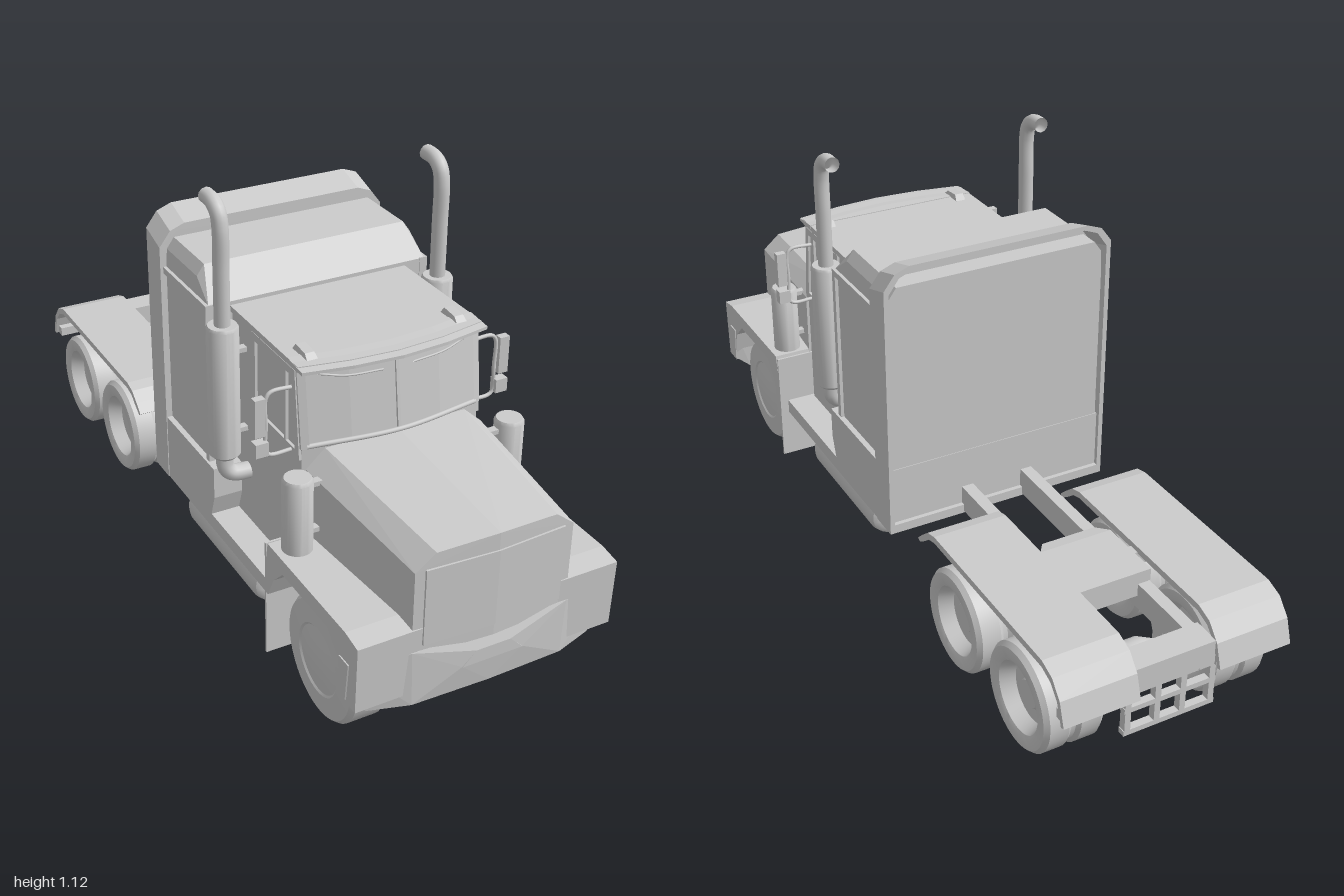
import * as THREE from 'three';
import { toCreasedNormals } from 'three/addons/utils/BufferGeometryUtils.js';
import { ConvexGeometry } from 'three/addons/geometries/ConvexGeometry.js';

const mat = new THREE.MeshStandardMaterial({ color: 0xcccccc, side: THREE.DoubleSide });
const V = (x, y, z) => new THREE.Vector3(x, y, z);

// Box given by its limits on each axis
const box = (x0, x1, y0, y1, z0, z1) =>
  new THREE.BoxGeometry(x1 - x0, y1 - y0, z1 - z0).translate((x0 + x1) / 2, (y0 + y1) / 2, (z0 + z1) / 2);

// Convex body from points; sym adds the points mirrored in x
const hull = (pts, sym = true) => {
  const all = pts.map(p => V(...p));
  if (sym) pts.forEach(p => { if (p[0]) all.push(V(-p[0], p[1], p[2])); });
  return new ConvexGeometry(all);
};

const shapeOf = pts => new THREE.Shape(pts.map(p => new THREE.Vector2(...p)));

// Side profile of [z, y] points (with optional hole) extruded from x0 to x1
const sideProfile = (pts, x0, x1, hole) => {
  const s = shapeOf(pts.map(([z, y]) => [-z, y]));
  if (hole) s.holes.push(shapeOf(hole.map(([z, y]) => [-z, y])));
  return new THREE.ExtrudeGeometry(s, { depth: x1 - x0, bevelEnabled: false }).rotateY(Math.PI / 2).translate(x0, 0, 0);
};

// Turned part; profile is [radius, height], axis y (upright), x or z
const turned = (profile, axis = 'y', seg = 32) => {
  const g = toCreasedNormals(new THREE.LatheGeometry(profile.map(p => new THREE.Vector2(...p)), seg), 0.6);
  if (axis === 'x') g.rotateZ(-Math.PI / 2);
  if (axis === 'z') g.rotateX(Math.PI / 2);
  return g;
};
const rod = (r, a, b, axis, seg = 16) => turned([[0, a], [r, a], [r, b], [0, b]], axis, seg);
const tube = (pts, r, seg = 24) =>
  new THREE.TubeGeometry(new THREE.CatmullRomCurve3(pts.map(p => V(...p))), seg, r, 12);

// Mirror a geometry in x, keeping its faces outward
const mirrorX = geo => {
  const g = geo.index ? geo.toNonIndexed() : geo.clone();
  g.scale(-1, 1, 1);
  for (const a of Object.values(g.attributes)) {
    const n = a.itemSize;
    for (let i = 0; i < a.count; i += 3)
      for (let k = 0; k < n; k++) {
        const p = (i + 1) * n + k, q = (i + 2) * n + k, t = a.array[p];
        a.array[p] = a.array[q];
        a.array[q] = t;
      }
  }
  return g;
};

export function createModel() {
  const truck = new THREE.Group();
  truck.name = 'truck';
  const add = (name, g) => {
    const m = new THREE.Mesh(g, mat);
    m.name = name;
    truck.add(m);
  };
  const pair = (name, g) => {
    add(name + 'Left', g);
    add(name + 'Right', mirrorX(g));
  };

  // Hood with chamfered edges, grille and engine bay
  add('hood', hull([
    [0.205, 0.3, 0.982], [0.205, 0.525, 0.982], [0.155, 0.565, 0.985], [0, 0.572, 0.995], [0, 0.3, 0.995],
    [0.24, 0.3, 0.56], [0.24, 0.555, 0.56], [0.19, 0.6, 0.56], [0, 0.605, 0.57]]));
  add('grille', hull([[0.18, 0.33, 0.98], [0.18, 0.528, 0.98], [0.18, 0.33, 0.989],
    [0.18, 0.528, 0.989], [0, 0.33, 0.999], [0, 0.528, 0.999]]));
  add('engineBay', box(-0.17, 0.17, 0.2, 0.32, 0.5, 0.96));

  // Folded bumper
  add('bumper', hull([
    [0.3, 0.17, 0.955], [0.3, 0.17, 0.92], [0.345, 0.21, 0.94], [0.345, 0.31, 0.95], [0.345, 0.31, 0.91],
    [0.345, 0.21, 0.92], [0.205, 0.315, 0.985], [0.08, 0.24, 0.998], [0.045, 0.275, 1], [0.2, 0.17, 0.985], [0, 0.17, 0.99]]));
  add('bumperCentre', hull([[0.08, 0.24, 0.99], [0.045, 0.275, 0.99], [0.08, 0.24, 1], [0.045, 0.275, 1]]));

  // Front fenders with wheel arch and mud flap
  pair('frontFender', sideProfile([
    [0.98, 0.2], [0.985, 0.375], [0.93, 0.385], [0.565, 0.385], [0.55, 0.3], [0.55, 0.24], [0.565, 0.24],
    [0.595, 0.3], [0.64, 0.345], [0.85, 0.345], [0.9, 0.3], [0.925, 0.2]], 0.17, 0.342));
  pair('frontFlap', box(0.155, 0.342, 0.06, 0.38, 0.55, 0.556));

  // Cab with bowed windscreen and roof visor
  const bow = [[0.24, 0.54], [0.12, 0.563], [0, 0.572]];
  const slab = (y0, y1, dz0, dz1, w = 0) => hull(bow.flatMap(([x, z]) => {
    const X = x ? x + w * x / 0.24 : 0;
    return [[X, y0, z + dz0], [X, y1, z + dz1], [X, y0, 0.17], [X, y1, 0.17]];
  }));
  add('cabLower', slab(0.2, 0.6, 0, 0));
  add('cabUpper', slab(0.6, 0.8, 0, -0.025));
  add('roof', slab(0.795, 0.81, -0.01, -0.01, 0.006));
  add('visor', hull(bow.flatMap(([x, z]) => [[x * 1.03, 0.798, z + 0.012], [x * 1.03, 0.806, z + 0.012],
    [x * 1.03, 0.798, z - 0.06], [x * 1.03, 0.812, z - 0.06]])));
  add('windscreenPost', hull([[0.004, 0.61, 0.577], [0.004, 0.795, 0.552], [0.004, 0.61, 0.56], [0.004, 0.795, 0.54]]));
  pair('windscreenPillar', hull([[0.225, 0.6, 0.55], [0.244, 0.6, 0.544], [0.225, 0.8, 0.525], [0.244, 0.8, 0.519],
    [0.244, 0.6, 0.525], [0.244, 0.8, 0.5]], false));
  add('windscreenSill', tube([[-0.23, 0.605, 0.545], [0, 0.608, 0.578], [0.23, 0.605, 0.545]], 0.006));
  pair('wiper', tube([[0.2, 0.785, 0.537], [0.13, 0.77, 0.55], [0.04, 0.768, 0.56]], 0.0025));
  pair('windowFrame', sideProfile([[0.54, 0.57], [0.515, 0.795], [0.3, 0.795], [0.3, 0.57]], 0.235, 0.247,
    [[0.518, 0.59], [0.5, 0.775], [0.315, 0.775], [0.315, 0.59]]));
  pair('windowPost', box(0.238, 0.247, 0.59, 0.78, 0.465, 0.473));
  pair('roofLight', hull([[0.185, 0.805, 0.44], [0.215, 0.805, 0.44], [0.185, 0.805, 0.52], [0.215, 0.805, 0.52],
    [0.188, 0.826, 0.455], [0.212, 0.826, 0.455], [0.188, 0.822, 0.5], [0.212, 0.822, 0.5]], false));

  // Running board and the step up to the sleeper
  add('runningBoard', box(-0.318, 0.318, 0.2, 0.24, -0.14, 0.55));
  pair('sleeperStep', sideProfile([[0.2, 0.24], [0.22, 0.3], [0.22, 0.385], [0.17, 0.385], [0.17, 0.24]], 0.23, 0.318));

  // Sleeper box, raised roof and rear fairing
  add('sleeper', box(-0.303, 0.303, 0.22, 0.82, -0.138, 0.18));
  add('sleeperSkirt', box(-0.318, 0.318, 0.2, 0.385, -0.14, 0.18));
  pair('sleeperCorner', box(0.29, 0.312, 0.385, 0.82, 0.165, 0.182));
  pair('sleeperTrim', box(0.29, 0.312, 0.805, 0.822, -0.08, 0.182));
  add('sleeperRoof', hull([[0.303, 0.82, 0.18], [0.303, 0.82, -0.138], [0.28, 0.898, 0.11], [0.3, 0.87, 0.11],
    [0.28, 0.898, -0.138], [0.3, 0.87, -0.138]]));
  const rim = [[-0.32, 0.2], [0.32, 0.2], [0.32, 0.9], [0.29, 0.94], [0.25, 0.955],
    [-0.25, 0.955], [-0.29, 0.94], [-0.32, 0.9]];
  const extrudeZ = (shape, z0, z1) => {
    const g = new THREE.ExtrudeGeometry(shape, { depth: z1 - z0, bevelEnabled: false }).translate(0, 0, z0);
    const p = g.attributes.position;
    // The top leans down toward the front
    for (let i = 0; i < p.count; i++) if (p.getY(i) > 0.88) p.setY(i, p.getY(i) - (p.getZ(i) + 0.15) * 0.3);
    g.computeVertexNormals();
    return g;
  };
  const rimRing = shapeOf(rim);
  rimRing.holes.push(shapeOf(rim.map(([x, y]) => [x * 0.96, y < 0.3 ? 0.225 : y - 0.012])));
  add('fairingRim', extrudeZ(rimRing, -0.152, -0.07));
  add('fairingFront', extrudeZ(shapeOf(rim), -0.082, -0.07));

  // Exhaust stacks and air cleaners
  pair('muffler', turned([[0, 0.44], [0.03, 0.44], [0.04, 0.45], [0.04, 0.795], [0.036, 0.802], [0, 0.802]])
    .translate(0.3, 0, 0.25));
  pair('exhaustStack', tube([[0.3, 0.79, 0.25], [0.3, 0.95, 0.25], [0.3, 1.05, 0.25], [0.3, 1.085, 0.24],
    [0.3, 1.103, 0.215], [0.3, 1.106, 0.175]], 0.02, 40));
  pair('exhaustElbow', tube([[0.3, 0.45, 0.25], [0.3, 0.41, 0.252], [0.285, 0.39, 0.256], [0.23, 0.385, 0.26]], 0.022));
  pair('airCleaner', turned([[0, 0.38], [0.037, 0.38], [0.037, 0.57], [0.032, 0.578], [0, 0.578]])
    .translate(0.288, 0, 0.61));
  for (const y of [0.42, 0.545]) pair('airCleanerBracket', box(0.22, 0.29, y, y + 0.012, 0.6, 0.62));
  for (const y of [0.5, 0.72]) pair('mufflerBracket', box(0.23, 0.3, y, y + 0.012, 0.24, 0.26));

  // Mirrors
  pair('mirror', box(0.318, 0.345, 0.64, 0.738, 0.492, 0.512));
  pair('mirrorSmall', box(0.312, 0.345, 0.588, 0.624, 0.49, 0.515));
  pair('mirrorArm', tube([[0.24, 0.745, 0.5], [0.3, 0.745, 0.5], [0.312, 0.73, 0.5], [0.312, 0.66, 0.5],
    [0.312, 0.59, 0.5], [0.3, 0.58, 0.5], [0.24, 0.58, 0.5]], 0.005, 40));

  // Fuel tanks with straps
  pair('fuelTank', turned([[0, 0], [0.045, 0], [0.058, 0.008], [0.063, 0.025], [0.063, 0.395], [0.058, 0.412],
    [0.045, 0.42], [0, 0.42]], 'z').translate(0.24, 0.143, 0));
  for (const z of [0.08, 0.32]) pair('tankStrap', box(0.19, 0.29, 0.18, 0.21, z, z + 0.02));

  // Wheels: domed front ones, dished dual rear ones
  pair('frontWheel', turned([[0, 0.22], [0.09, 0.22], [0.1, 0.205], [0.14, 0.205], [0.155, 0.22], [0.155, 0.295],
    [0.145, 0.308], [0.09, 0.312], [0.085, 0.308], [0.05, 0.313], [0, 0.315]], 'x', 40).translate(0, 0.17, 0.755));
  const dual = turned([[0, 0.19], [0.07, 0.19], [0.088, 0.155], [0.1, 0.148], [0.125, 0.148], [0.135, 0.16],
    [0.135, 0.212], [0.127, 0.222], [0.127, 0.234], [0.135, 0.244], [0.135, 0.295], [0.125, 0.307], [0.1, 0.308],
    [0.09, 0.302], [0.075, 0.265], [0.04, 0.265], [0.035, 0.275], [0, 0.275]], 'x', 40);
  add('frontAxle', rod(0.018, -0.22, 0.22, 'x').translate(0, 0.16, 0.755));
  for (const z of [-0.475, -0.79]) {
    pair('rearWheel', dual.clone().translate(0, 0.138, z));
    add('rearAxle', rod(0.02, -0.2, 0.2, 'x').translate(0, 0.138, z));
    add('differential', turned([[0, -0.08], [0.022, -0.08], [0.042, -0.035], [0.042, 0.035], [0.022, 0.08], [0, 0.08]], 'x', 16)
      .translate(0, 0.138, z));
    pair('axleMount', box(0.08, 0.105, 0.11, 0.23, z - 0.02, z + 0.02));
  }
  add('driveShaft', rod(0.012, -0.79, 0.1, 'z').translate(0, 0.14, 0));

  // Chassis frame, cross members and coupling plate
  pair('frameRail', box(0.072, 0.105, 0.205, 0.275, -0.97, -0.1));
  add('rearCrossMember', box(-0.11, 0.11, 0.215, 0.28, -0.975, -0.9));
  add('couplingBase', box(-0.1, 0.1, 0.24, 0.29, -0.71, -0.54));
  add('couplingPlate', hull([[0.1, 0.285, -0.72], [0.1, 0.318, -0.72], [0.1, 0.285, -0.54], [0.1, 0.318, -0.54],
    [0.075, 0.285, -0.505], [0.075, 0.312, -0.505]]));

  // Rear fenders: a thin strip curved over both axles
  pair('rearFender', sideProfile([
    [-0.29, 0.275], [-0.315, 0.298], [-0.345, 0.323], [-0.38, 0.332], [-0.9, 0.332], [-0.945, 0.316], [-0.98, 0.275], [-1, 0.213],
    [-0.988, 0.21], [-0.968, 0.268], [-0.938, 0.3], [-0.9, 0.314], [-0.38, 0.314], [-0.35, 0.306], [-0.325, 0.285], [-0.3, 0.268]],
    0.108, 0.308));
  pair('fenderBracket', box(0.1, 0.2, 0.28, 0.318, -0.65, -0.62));

  // Rear light frame
  for (const y of [0.085, 0.15, 0.2]) add('lightBar', box(-0.125, 0.125, y, y + 0.014, -0.965, -0.945));
  for (const x of [0.035, 0.115]) pair('lightFramePost', box(x - 0.008, x + 0.008, 0.09, 0.235, -0.965, -0.945));
  pair('rearLight', box(0.11, 0.3, 0.212, 0.238, -0.98, -0.955));

  return truck;
}
